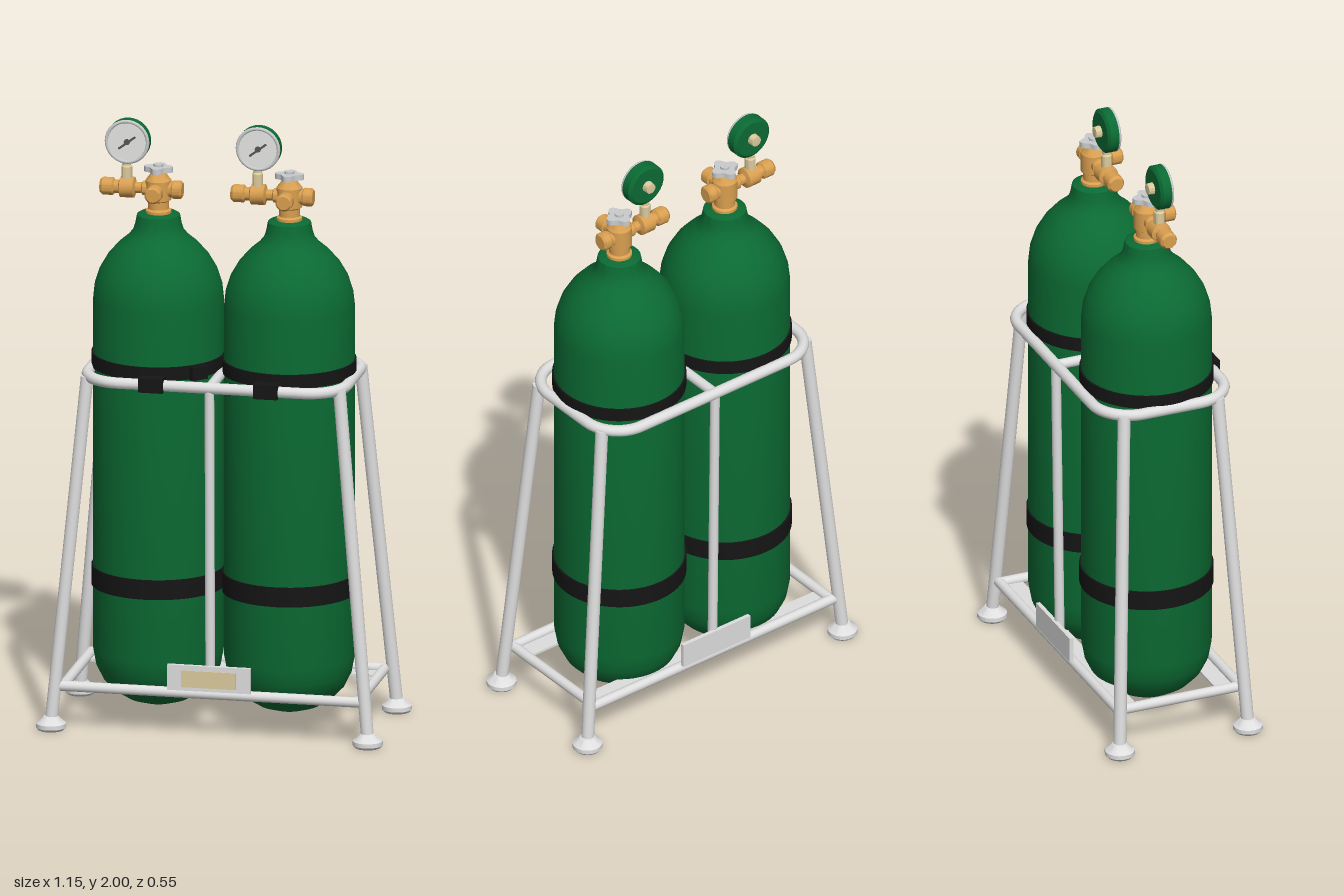
import * as THREE from 'three';
import { toCreasedNormals } from 'three/addons/utils/BufferGeometryUtils.js';

const mat = (name, color) => new THREE.MeshStandardMaterial({ name, color });
const green = mat('tank green', 0x0b6a33);
const white = mat('frame white', 0xdedede);
const black = mat('strap black', 0x151515);
const brass = mat('brass', 0xd99f50);
const cream = mat('pale brass', 0xdccb9c);
const silver = mat('silver', 0xc9cbcd);
const dialWhite = mat('dial white', 0xf0f0ee);
const grey = mat('needle grey', 0x55585a);

const V = (x, y, z) => new THREE.Vector3(x, y, z);
const UP = V(0, 1, 0);

function add(parent, name, geometry, material, x = 0, y = 0, z = 0) {
  const mesh = new THREE.Mesh(geometry, material);
  mesh.name = name;
  mesh.position.set(x, y, z);
  parent.add(mesh);
  return mesh;
}

const box = (parent, name, m, w, h, d, x, y, z) =>
  add(parent, name, new THREE.BoxGeometry(w, h, d), m, x, y, z);

// Turned part: profile of [radius, height], axis turned from y to dir
function turned(parent, name, m, profile, pos, dir = UP, sides = 20) {
  const points = profile.map(([r, h]) => new THREE.Vector2(r, h));
  const geometry = toCreasedNormals(new THREE.LatheGeometry(points, sides), 0.6);
  const mesh = add(parent, name, geometry, m, ...pos);
  mesh.quaternion.setFromUnitVectors(UP, dir);
  return mesh;
}

// Straight round bar between two points
function bar(parent, name, a, b, r, m = white) {
  const dir = b.clone().sub(a);
  const mid = a.clone().add(b).multiplyScalar(0.5);
  const mesh = add(parent, name, new THREE.CylinderGeometry(r, r, dir.length(), 16), m, mid.x, mid.y, mid.z);
  mesh.quaternion.setFromUnitVectors(UP, dir.normalize());
  return mesh;
}

function makeGauge() {
  const g = new THREE.Group();
  g.name = 'pressureGauge';
  const front = V(0, 0, 1);
  turned(g, 'gaugeCase', green, [[0, -0.02], [0.062, -0.02], [0.073, -0.012], [0.073, 0.02], [0, 0.02]], [0, 0, 0], front, 32);
  add(g, 'gaugeBezel', new THREE.TorusGeometry(0.068, 0.006, 8, 32), silver, 0, 0, 0.02);
  turned(g, 'gaugeDial', dialWhite, [[0.066, 0], [0.066, 0.003], [0, 0.003]], [0, 0, 0.019], front, 32);
  box(g, 'gaugeNeedle', grey, 0.07, 0.007, 0.003, 0, -0.003, 0.024).rotation.z = 0.65;
  turned(g, 'needleHub', grey, [[0.01, 0], [0.01, 0.004], [0, 0.004]], [0, 0, 0.022], front, 12);
  turned(g, 'gaugeBackNut', cream, [[0, -0.042], [0.018, -0.04], [0.02, -0.018]], [0, 0, 0], front, 12);
  return g;
}

function makeValve() {
  const g = new THREE.Group();
  g.name = 'valve';
  // Upright body on the tank neck
  turned(g, 'valveBody', brass, [[0.042, -0.09], [0.042, -0.07], [0.034, -0.065], [0.034, -0.04],
    [0.042, -0.035], [0.042, 0.03], [0.03, 0.045], [0.022, 0.06], [0, 0.06]], [0, 0, 0]);
  // Side arm that carries the gauge, and its opposite plug
  turned(g, 'gaugeArm', brass, [[0, 0], [0.024, 0], [0.024, 0.05], [0.018, 0.055], [0.018, 0.075], [0.034, 0.08],
    [0.034, 0.125], [0.022, 0.13], [0.022, 0.145], [0.029, 0.15], [0.029, 0.183], [0.022, 0.192], [0, 0.192]], [0, 0, 0], V(-1, 0, 0));
  turned(g, 'sidePlug', brass, [[0, 0], [0.026, 0], [0.026, 0.045], [0.03, 0.05], [0.03, 0.074], [0.024, 0.08], [0, 0.08]],
    [0, 0, 0], V(1, 0, 0));
  turned(g, 'frontOutlet', brass, [[0, 0], [0.022, 0], [0.022, 0.055], [0.028, 0.058], [0.028, 0.09], [0.022, 0.096], [0, 0.096]],
    [0, 0, 0], V(0, 0, 1));
  turned(g, 'gaugeStem', cream, [[0.018, 0], [0.018, 0.06], [0.014, 0.065], [0.014, 0.1]], [-0.105, 0.01, 0], UP, 12);
  const gauge = makeGauge();
  gauge.position.set(-0.1, 0.157, 0);
  g.add(gauge);

  // Four-lobed handwheel
  const rim = [];
  for (let i = 0; i < 40; i++) {
    const a = (i / 40) * Math.PI * 2;
    const r = 0.04 + 0.008 * Math.cos(4 * a);
    rim.push(new THREE.Vector2(r * Math.cos(a), r * Math.sin(a)));
  }
  const wheel = new THREE.ExtrudeGeometry(new THREE.Shape(rim), { depth: 0.018, bevelEnabled: false });
  wheel.rotateX(-Math.PI / 2);
  add(g, 'handwheel', toCreasedNormals(wheel, 0.6), silver, 0, 0.058, 0);
  turned(g, 'handwheelStem', silver, [[0.016, 0.05], [0.016, 0.084], [0, 0.084]], [0, 0, 0], UP, 12);
  return g;
}

function makeTank(x) {
  const g = new THREE.Group();
  g.name = 'tank';
  g.position.x = x;
  const shell = [[0, 0.05], [0.05, 0.054], [0.1, 0.07], [0.145, 0.098], [0.18, 0.135], [0.202, 0.18], [0.212, 0.235],
    [0.212, 1.41], [0.207, 1.455], [0.191, 1.505], [0.165, 1.55], [0.13, 1.59], [0.098, 1.617], [0.082, 1.637],
    [0.075, 1.66], [0.07, 1.688], [0.06, 1.694], [0, 1.694]];
  turned(g, 'tankShell', green, shell, [0, 0, 0], UP, 48);
  // Straps around the tank
  for (const [low, high] of [[0.45, 0.515], [1.185, 1.23]]) {
    turned(g, 'strap', black, [[0.211, low], [0.218, low], [0.218, high], [0.211, high]], [0, 0, 0], UP, 48);
  }
  const valve = makeValve();
  valve.position.y = 1.773;
  g.add(valve);
  return g;
}

function makeFrame() {
  const g = new THREE.Group();
  g.name = 'frame';
  const X = 0.428, Z = 0.226, R = 0.125, topY = 1.175, lowY = 0.145;

  // Rounded top rail
  const loop = new THREE.CurvePath();
  const corners = [[1, 1], [-1, 1], [-1, -1], [1, -1]];
  corners.forEach(([sx, sz], i) => {
    const inX = V(sx * (X - R), topY, sz * Z), inZ = V(sx * X, topY, sz * (Z - R));
    const [start, end] = i % 2 ? [inX, inZ] : [inZ, inX];
    const k = 0.45;
    const corner = V(sx * X, topY, sz * Z);
    loop.add(new THREE.CubicBezierCurve3(start, start.clone().lerp(corner, 1 - k), end.clone().lerp(corner, 1 - k), end));
    const [nx, nz] = corners[(i + 1) % 4];
    const next = i % 2 ? V(nx * (X - R), topY, nz * Z) : V(nx * X, topY, nz * (Z - R));
    loop.add(new THREE.LineCurve3(end, i % 2 ? V(nx * X, topY, nz * (Z - R)) : V(nx * (X - R), topY, nz * Z)));
  });
  add(g, 'topRail', new THREE.TubeGeometry(loop, 120, 0.019, 12, true), white);
  bar(g, 'topCrossbar', V(0, topY, -Z), V(0, topY, Z), 0.017);

  for (const s of [1, -1]) {
    // Posts, lower rails, ledges and plates on the front and back
    bar(g, 'centrePost', V(0, lowY, s * 0.212), V(0, topY, s * Z), 0.016);
    bar(g, 'lowerLongRail', V(-0.5, lowY, s * 0.215), V(0.5, lowY, s * 0.215), 0.017);
    box(g, 'lowerLedge', white, 0.95, 0.008, 0.07, 0, 0.137, s * 0.175);
    bar(g, 'lowerEndRail', V(s * 0.487, lowY, -0.215), V(s * 0.487, lowY, 0.215), 0.017);
    box(g, 'namePlate', white, 0.275, 0.085, 0.014, 0, 0.2, s * 0.23);
    // Splayed legs with flared feet
    for (const t of [1, -1]) {
      bar(g, 'leg', V(s * 0.525, 0.02, t * 0.226), V(s * 0.418, topY, t * 0.165), 0.021);
      turned(g, 'foot', white, [[0, 0], [0.042, 0], [0.049, 0.008], [0.049, 0.022], [0.036, 0.032], [0.024, 0.045], [0, 0.05]],
        [s * 0.525, 0, t * 0.226], UP, 24);
    }
    // Strap buckles wrapped over the front rail
    box(g, 'railBuckle', black, 0.08, 0.048, 0.056, s * 0.19, 1.179, 0.226);
  }
  box(g, 'plateLabel', cream, 0.18, 0.056, 0.006, 0, 0.198, 0.238);
  box(g, 'strapBuckle', black, 0.06, 0.045, 0.03, -0.055, 1.205, 0.148).rotation.y = 0.8;
  return g;
}

export function createModel() {
  const model = new THREE.Group();
  model.name = 'twinGasTanks';
  model.add(makeTank(-0.217), makeTank(0.217), makeFrame());
  return model;
}
